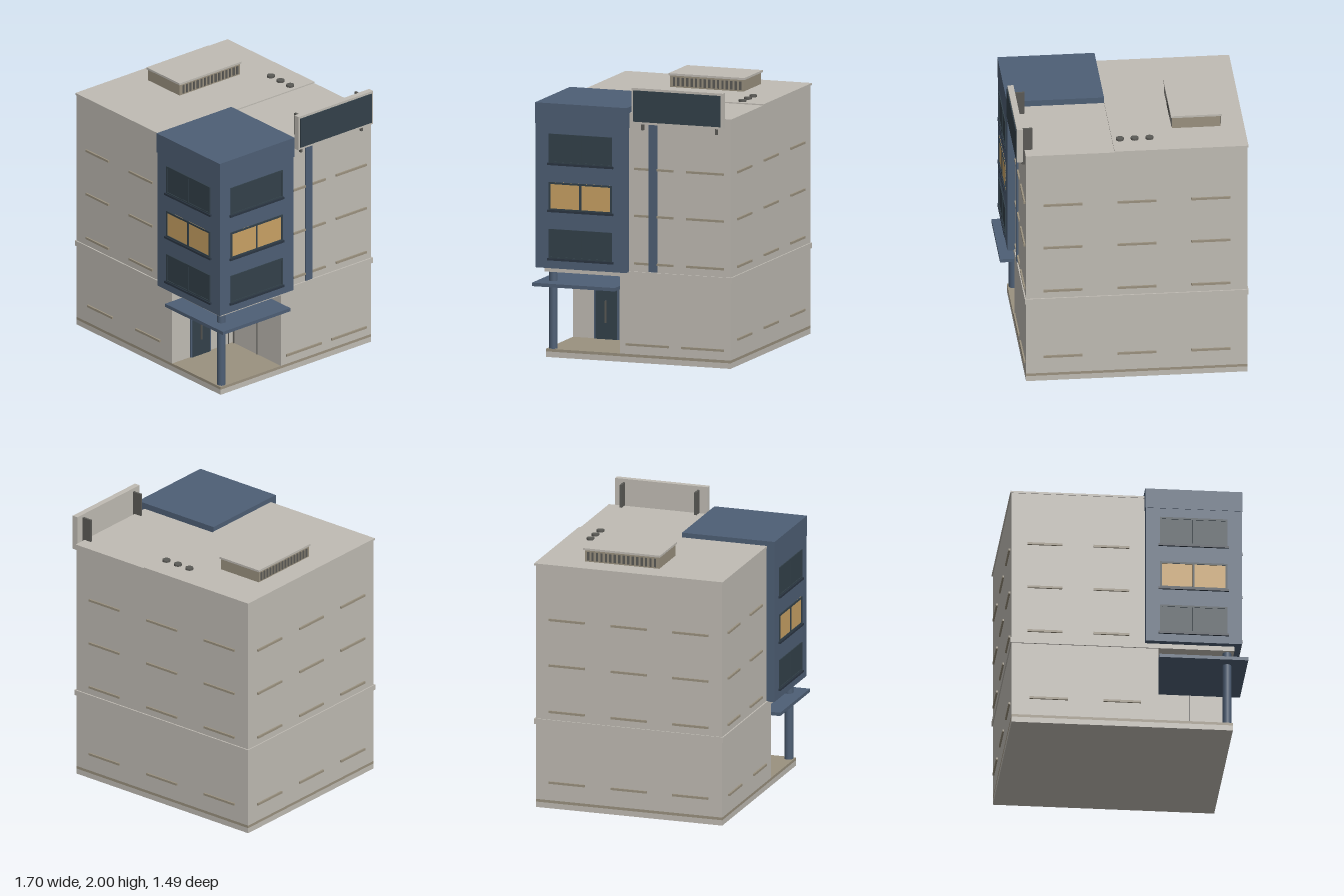
import * as THREE from 'three';

const mat = (name, color) => new THREE.MeshStandardMaterial({ name, color });

export function createModel() {
  const root = new THREE.Group();
  root.name = 'cornerBuilding';
  const wall = mat('pale wall', 0xc0bcb4);
  const blue = mat('slate blue', 0x4e5f75);
  const glass = mat('dark glass', 0x33414a);
  const tan = mat('tan stone', 0x9a917f);
  const amber = mat('lit window', 0xc9a264);
  const metal = mat('dark metal', 0x5b5a56);
  const trim = mat('dark trim', 0x2b3643);

  // Box from its minimum and maximum along each axis
  function box(name, m, x0, x1, y0, y1, z0, z1, parent = root) {
    const mesh = new THREE.Mesh(new THREE.BoxGeometry(x1 - x0, y1 - y0, z1 - z0), m);
    mesh.position.set((x0 + x1) / 2, (y0 + y1) / 2, (z0 + z1) / 2);
    mesh.name = name;
    parent.add(mesh);
    return mesh;
  }
  function cylinder(name, m, r, x, y0, y1, z) {
    const mesh = new THREE.Mesh(new THREE.CylinderGeometry(r, r, y1 - y0, 20), m);
    mesh.position.set(x, (y0 + y1) / 2, z);
    mesh.name = name;
    root.add(mesh);
  }

  const L = -0.842, R = 0.744, B = -0.735, F = 0.675; // footprint
  const doorX = 0.21, backZ = 0.11;                   // entrance recess

  // Plinth and floor slab
  box('plinth', wall, L, R, 0, 0.04, B, F);
  box('floorSlab', tan, L, R, 0.04, 0.06, B, F);

  // Ground floor with the corner cut away
  box('groundFloorLeft', wall, L, doorX, 0.06, 0.62, B, F);
  box('groundFloorRight', wall, doorX, R, 0.06, 0.62, B, backZ);

  // Upper floors, string course and roof
  box('stringCourse', wall, L - 0.008, R + 0.01, 0.62, 0.66, B - 0.01, F + 0.01);
  box('upperFloors', wall, L, R, 0.66, 1.8, B, F);
  box('roofSlab', wall, L - 0.008, 0.11, 1.8, 1.815, B - 0.01, F + 0.005);
  box('roofSlabRight', wall, 0.11, R + 0.002, 1.8, 1.806, B - 0.006, 0.04);

  // Window ledges on the four plain walls
  const t = 0.008, out = 0.012;
  const upper = [0.72, 1.065, 1.405];
  const ledgeX = (y, a, b, z) => box('ledge', tan, a, b, y - t, y + t, z - out, z + out);
  const ledgeZ = (y, a, b, x) => box('ledge', tan, x - out, x + out, y - t, y + t, a, b);
  for (const y of upper) {
    ledgeX(y, -0.73, -0.48, F);
    ledgeX(y, -0.255, 0, F);
    ledgeZ(y, -0.3, 0, R);
    ledgeZ(y, -0.685, -0.4, R);
  }
  ledgeX(0.193, -0.715, -0.44, F);
  ledgeX(0.193, -0.185, 0.085, F);
  ledgeZ(0.13, -0.265, 0.065, R);
  ledgeZ(0.13, -0.685, -0.36, R);
  for (const y of [0.193, ...upper]) {
    for (const c of [-0.58, -0.05, 0.48]) ledgeX(y, c - 0.14, c + 0.14, B);
    for (const c of [-0.5, -0.03, 0.435]) ledgeZ(y, c - 0.135, c + 0.135, L);
  }

  // Projecting blue corner bay
  box('cornerBay', blue, 0.114, 0.802, 0.655, 1.7, 0.04, 0.732);
  box('bayParapet', blue, 0.11, 0.806, 1.7, 1.85, 0.036, 0.736);

  // Bay window in its own plane: u across, v up, facing +z
  function bayWindow(y0, y1, pane) {
    const g = new THREE.Group();
    g.name = 'bayWindow';
    const w = 0.242, f = 0.014;
    box('pane', pane, -w, w, y0, y1, -0.002, 0.002, g);
    box('frameTop', glass, -w, w, y1 - f, y1, 0, 0.007, g);
    box('frameBottom', glass, -w, w, y0, y0 + f, 0, 0.007, g);
    for (const x of [-w, -f / 2, w - f]) box('frameUpright', glass, x, x + f, y0, y1, 0, 0.007, g);
    box('sill', trim, -w - 0.01, w + 0.01, y0 - 0.012, y0 + 0.004, 0, 0.014, g);
    root.add(g);
    return g;
  }
  for (const [y0, y1, pane] of [[0.725, 0.94, glass], [1.075, 1.28, amber], [1.415, 1.63, glass]]) {
    bayWindow(y0, y1, pane).position.set(0.457, 0, 0.732);
    const side = bayWindow(y0, y1, pane);
    side.position.set(0.802, 0, 0.39);
    side.rotation.y = Math.PI / 2;
  }

  // Entrance: canopy, column, door and thin wall joints
  box('canopy', blue, 0.212, 0.848, 0.525, 0.55, backZ, 0.743);
  cylinder('column', blue, 0.031, 0.705, 0.06, 0.62, 0.635);
  box('doorFrame', blue, doorX, doorX + 0.012, 0.06, 0.472, 0.32, 0.51);
  box('doorLeaf', glass, doorX, doorX + 0.016, 0.06, 0.455, 0.335, 0.495);
  box('doorHandle', metal, doorX + 0.016, doorX + 0.026, 0.18, 0.34, 0.412, 0.422);
  for (const z of [0.335, 0.495]) box('wallJoint', metal, doorX, doorX + 0.006, 0.472, 0.525, z - 0.003, z + 0.003);
  box('wallJoint', metal, doorX, doorX + 0.006, 0.06, 0.525, 0.147, 0.153);
  for (const x of [0.228, 0.485]) box('wallJoint', metal, x - 0.003, x + 0.003, 0.06, 0.525, backZ, backZ + 0.006);

  // Vertical blue strip on the right wall
  box('wallStrip', blue, R - 0.01, 0.757, 0.665, 1.76, -0.175, -0.113);

  // Rooftop sign board on two brackets
  box('signBoard', wall, 0.763, 0.806, 1.74, 2, -0.7, 0);
  box('signPanel', glass, 0.8, 0.813, 1.757, 1.983, -0.683, -0.017);
  for (const z of [-0.632, -0.068]) box('signBracket', metal, 0.69, 0.765, 1.69, 1.975, z - 0.008, z + 0.008);

  // Rooftop unit with louvres on both long sides
  box('roofUnit', tan, -0.682, -0.333, 1.81, 1.9, -0.42, 0.143);
  box('roofUnitLid', wall, -0.69, -0.325, 1.9, 1.915, -0.43, 0.15);
  for (let i = 0; i < 16; i++) {
    const z = -0.395 + i * 0.0337;
    for (const x of [-0.682, -0.333]) box('louvre', metal, x - 0.005, x + 0.005, 1.825, 1.887, z - 0.008, z + 0.008);
  }

  // Roof vents
  for (const x of [-0.157, -0.051, 0.055]) cylinder('roofVent', metal, 0.028, x, 1.8, 1.83, -0.562);

  return root;
}
